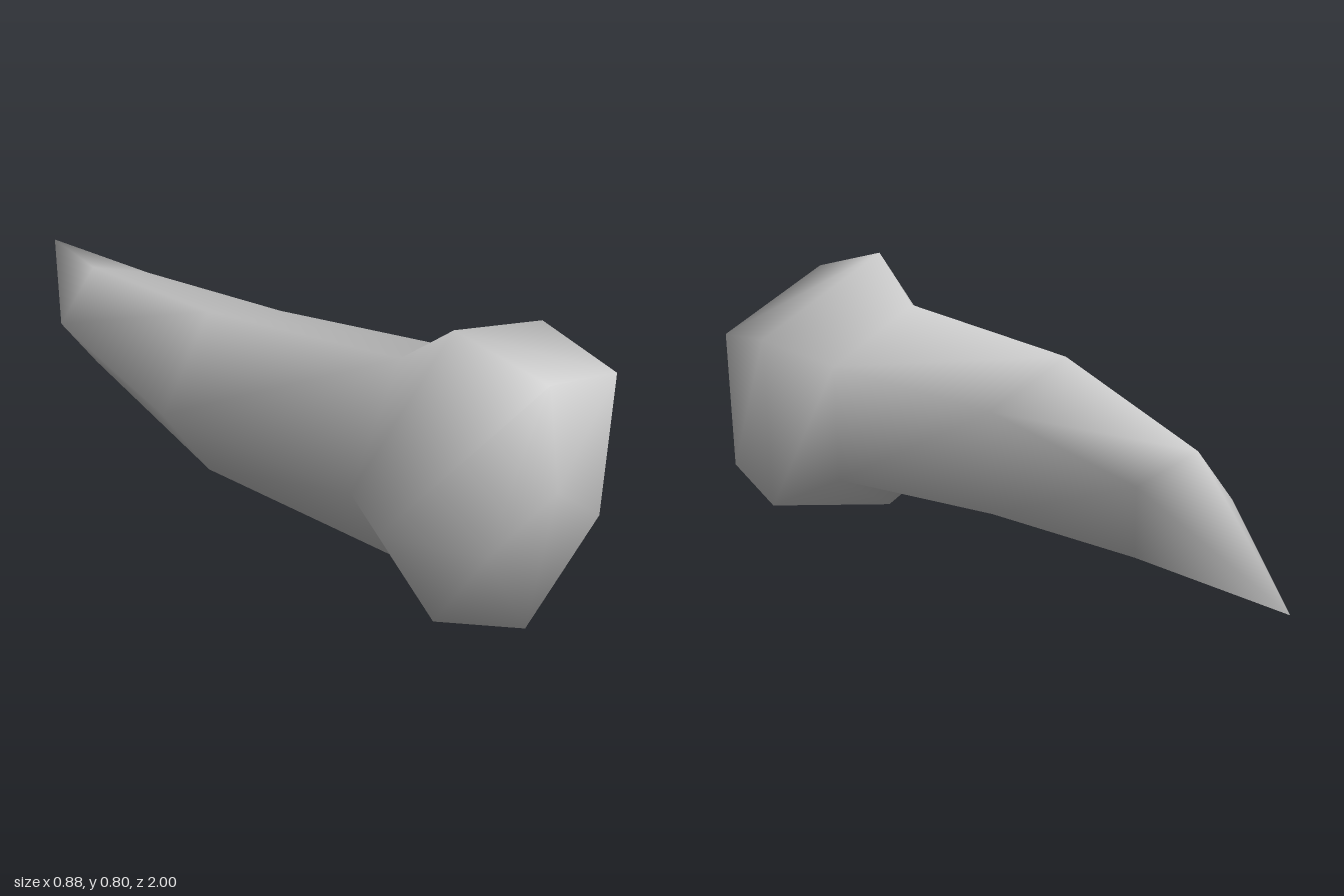
import * as THREE from 'three';

const SIDES = 5;
const MID_Y = 0.404;
const TIP = [0.438, MID_Y, -1];

// Pentagonal cross-sections from base to tip: centre x, centre z, radius, yaw.
const sections = [
  [-0.03, 1.0, 0.345, 0],
  [-0.02, 0.76, 0.423, 0],
  [-0.034, 0.61, 0.29, 0],
  [-0.037, 0.045, 0.247, 0.13],
  [0.122, -0.502, 0.159, 0.38],
];

// Closed smooth horn: base cap, rings joined in loops, pointed tip.
function hornGeometry() {
  const points = [];
  const index = [];

  for (const [cx, cz, r, yaw] of sections) {
    for (let k = 0; k < SIDES; k++) {
      const a = ((36 + 72 * k) * Math.PI) / 180;
      const across = Math.cos(a) * r;
      points.push(cx + across * Math.cos(yaw), MID_Y + Math.sin(a) * r, cz + across * Math.sin(yaw));
    }
  }
  const tip = sections.length * SIDES;
  const base = tip + 1;
  const last = tip - SIDES;
  points.push(...TIP, sections[0][0], MID_Y, sections[0][1]);

  for (let k = 0; k < SIDES; k++) {
    const n = (k + 1) % SIDES;
    index.push(base, k, n);
    for (let p = 0; p < last; p += SIDES) {
      const q = p + SIDES;
      index.push(p + k, q + k, q + n, p + k, q + n, p + n);
    }
    index.push(last + k, tip, last + n);
  }

  const geometry = new THREE.BufferGeometry();
  geometry.setAttribute('position', new THREE.Float32BufferAttribute(points, 3));
  geometry.setIndex(index);
  geometry.computeVertexNormals();
  return geometry;
}

export function createModel() {
  const grey = new THREE.MeshStandardMaterial({ color: 0xcccccc });
  grey.name = 'horn grey';

  const group = new THREE.Group();
  group.name = 'horn';

  // Curved horn with its flared base
  const horn = new THREE.Mesh(hornGeometry(), grey);
  horn.name = 'curvedHorn';
  group.add(horn);
  return group;
}
